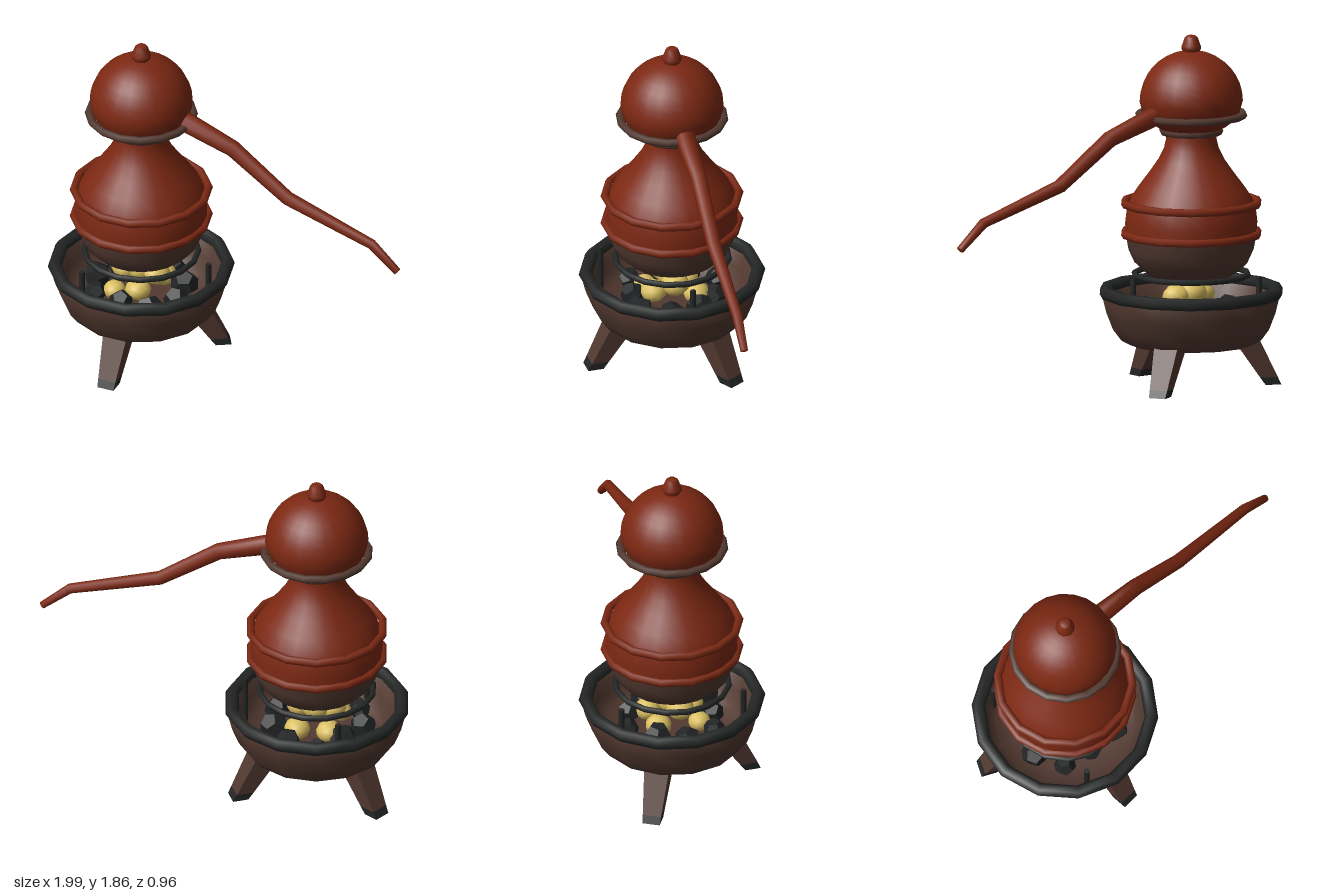
import * as THREE from 'three';

const mat = (name, color) => {
  const m = new THREE.MeshStandardMaterial({ color, side: THREE.DoubleSide });
  m.name = name;
  return m;
};

export function createModel() {
  const copper = mat('copper', 0x7c2812);
  const brown = mat('sooty brown', 0x523930);
  const black = mat('black iron', 0x242626);
  const coalBlack = mat('coal', 0x222425);
  const ember = mat('ember yellow', 0xdcc062);

  const model = new THREE.Group();
  model.name = 'still';
  const body = new THREE.Group(); // everything round the vertical axis
  body.name = 'body';
  body.position.x = -0.51;
  model.add(body);

  const add = (name, geometry, material, parent = body) => {
    const mesh = new THREE.Mesh(geometry, material);
    mesh.name = name;
    parent.add(mesh);
    return mesh;
  };
  const lathe = (name, points, material, sides) =>
    add(name, new THREE.LatheGeometry(points.map(p => new THREE.Vector2(...p)), sides, Math.PI / 2), material);
  const ring = (name, y, radius, tube, material, sides, flatten = 1) => {
    const g = new THREE.TorusGeometry(radius, tube, 6, sides);
    g.rotateX(-Math.PI / 2);
    g.scale(1, flatten, 1);
    add(name, g, material).position.y = y;
  };

  // Fire bowl, outside then inside
  lathe('bowl', [[0, 0.222], [0.2, 0.222], [0.33, 0.225], [0.375, 0.25], [0.42, 0.31], [0.455, 0.4],
    [0.48, 0.5], [0.44, 0.51], [0.41, 0.4], [0.36, 0.32], [0.25, 0.29], [0, 0.29]], brown, 14);
  ring('bowlRim', 0.5, 0.455, 0.036, black, 14, 0.95);

  // Splayed tapering legs with dark feet
  const legPiece = (y0, y1) => {
    const g = new THREE.BoxGeometry(2, 1, 2);
    const p = g.attributes.position;
    for (let i = 0; i < p.count; i++) {
      const y = p.getY(i) > 0 ? y1 : y0;
      const t = y / 0.25;
      const width = THREE.MathUtils.lerp(0.046, 0.066, t);
      const depth = THREE.MathUtils.lerp(0.042, 0.068, t);
      const reach = THREE.MathUtils.lerp(0.43, 0.283, t);
      p.setXYZ(i, p.getX(i) * width, y, reach + p.getZ(i) * depth);
    }
    g.computeVertexNormals();
    return g;
  };
  for (let i = 0; i < 3; i++) {
    const leg = new THREE.Group();
    leg.name = 'leg';
    leg.rotation.y = i * Math.PI * 2 / 3;
    body.add(leg);
    add('legShaft', legPiece(0.04, 0.26), brown, leg);
    add('foot', legPiece(0, 0.04), black, leg);
  }

  // Pot support: ring and three posts
  ring('supportRing', 0.592, 0.3, 0.016, black, 16);
  for (let i = 0; i < 3; i++) {
    const a = i * Math.PI * 2 / 3;
    add('supportPost', new THREE.CylinderGeometry(0.016, 0.016, 0.29, 6), black)
      .position.set(0.385 * Math.cos(a), 0.455, 0.385 * Math.sin(a));
  }

  // Coals round the glowing embers
  for (let i = 0; i < 9; i++) {
    const a = i * Math.PI * 2 / 9 + 0.3;
    const r = 0.24 + 0.03 * Math.sin(i * 2.3);
    const coal = add('coal', new THREE.DodecahedronGeometry(0.068 + 0.01 * Math.sin(i * 1.7)), coalBlack);
    coal.position.set(r * Math.cos(a), 0.385, r * Math.sin(a));
    coal.rotation.set(i, i * 2, i * 0.7);
  }
  const embers = [[0, 0.49, 0, 0.085], [-0.08, 0.48, 0.02, 0.075], [0.09, 0.48, 0.01, 0.075],
    [0.03, 0.42, 0.11, 0.07], [-0.09, 0.4, -0.1, 0.07], [0.08, 0.4, -0.11, 0.07], [-0.1, 0.39, 0.12, 0.06]];
  for (const [x, y, z, r] of embers) {
    const e = add('ember', new THREE.IcosahedronGeometry(r, 1), ember);
    e.position.set(x, y, z);
    e.scale.y = 0.85;
  }

  // Pot: sooty base and copper shoulder
  lathe('potBase', [[0, 0.545], [0.1, 0.55], [0.2, 0.58], [0.25, 0.61], [0.3, 0.66],
    [0.33, 0.725], [0.346, 0.81]], brown, 22);
  lathe('potShoulder', [[0.346, 0.81], [0.348, 0.87], [0.34, 0.94], [0.32, 0.995], [0.28, 1.055],
    [0.22, 1.135], [0.175, 1.2], [0.145, 1.26], [0.133, 1.31], [0.13, 1.36]], copper, 22);
  ring('lowerBand', 0.81, 0.354, 0.022, copper, 14);
  ring('upperBand', 0.972, 0.354, 0.022, copper, 14);

  // Neck collar and domed head
  ring('neckCollar', 1.355, 0.148, 0.022, brown, 16);
  const dome = [[0.13, 1.35], [0.18, 1.375], [0.225, 1.41], [0.255, 1.45]];
  for (let i = 0; i <= 9; i++) {
    const a = i / 9 * Math.PI / 2;
    dome.push([0.272 * Math.cos(a), 1.51 + 0.27 * Math.sin(a)]);
  }
  lathe('head', dome, copper, 22);
  ring('headBand', 1.44, 0.274, 0.023, brown, 16, 0.85);
  lathe('finial', [[0.035, 1.76], [0.052, 1.79], [0.05, 1.805], [0.034, 1.85], [0.022, 1.86], [0, 1.86]], copper, 10);

  // Tapering bent spout: x, y, radius at each bend
  const bends = [[-0.27, 1.455, 0.054], [0.02, 1.36, 0.044], [0.34, 1.14, 0.037], [0.83, 0.99, 0.027], [0.98, 0.862, 0.02]];
  const sides = 10;
  const centres = bends.map(([x, y]) => new THREE.Vector3(x, y, (x + 0.27) * 0.042));
  const positions = [];
  const index = [];
  centres.forEach((c, i) => {
    const tangent = new THREE.Vector3();
    if (i > 0) tangent.add(c.clone().sub(centres[i - 1]).normalize());
    if (i < centres.length - 1) tangent.add(centres[i + 1].clone().sub(c).normalize());
    tangent.normalize();
    const across = new THREE.Vector3(0, 0, 1);
    const up = across.clone().cross(tangent).normalize();
    for (let j = 0; j < sides; j++) {
      const a = j / sides * Math.PI * 2;
      const p = c.clone().addScaledVector(up, bends[i][2] * Math.cos(a)).addScaledVector(across, bends[i][2] * Math.sin(a));
      positions.push(p.x, p.y, p.z);
      if (i > 0) {
        const n = i * sides + j, m = i * sides + (j + 1) % sides;
        index.push(n - sides, m - sides, n, m - sides, m, n);
      }
    }
  });
  // Caps at both ends
  const last = (centres.length - 1) * sides;
  for (let j = 1; j < sides - 1; j++) {
    index.push(0, j + 1, j, last, last + j, last + j + 1);
  }
  const spout = new THREE.BufferGeometry();
  spout.setAttribute('position', new THREE.Float32BufferAttribute(positions, 3));
  spout.setIndex(index);
  spout.computeVertexNormals();
  add('spout', spout, copper, model);

  return model;
}
